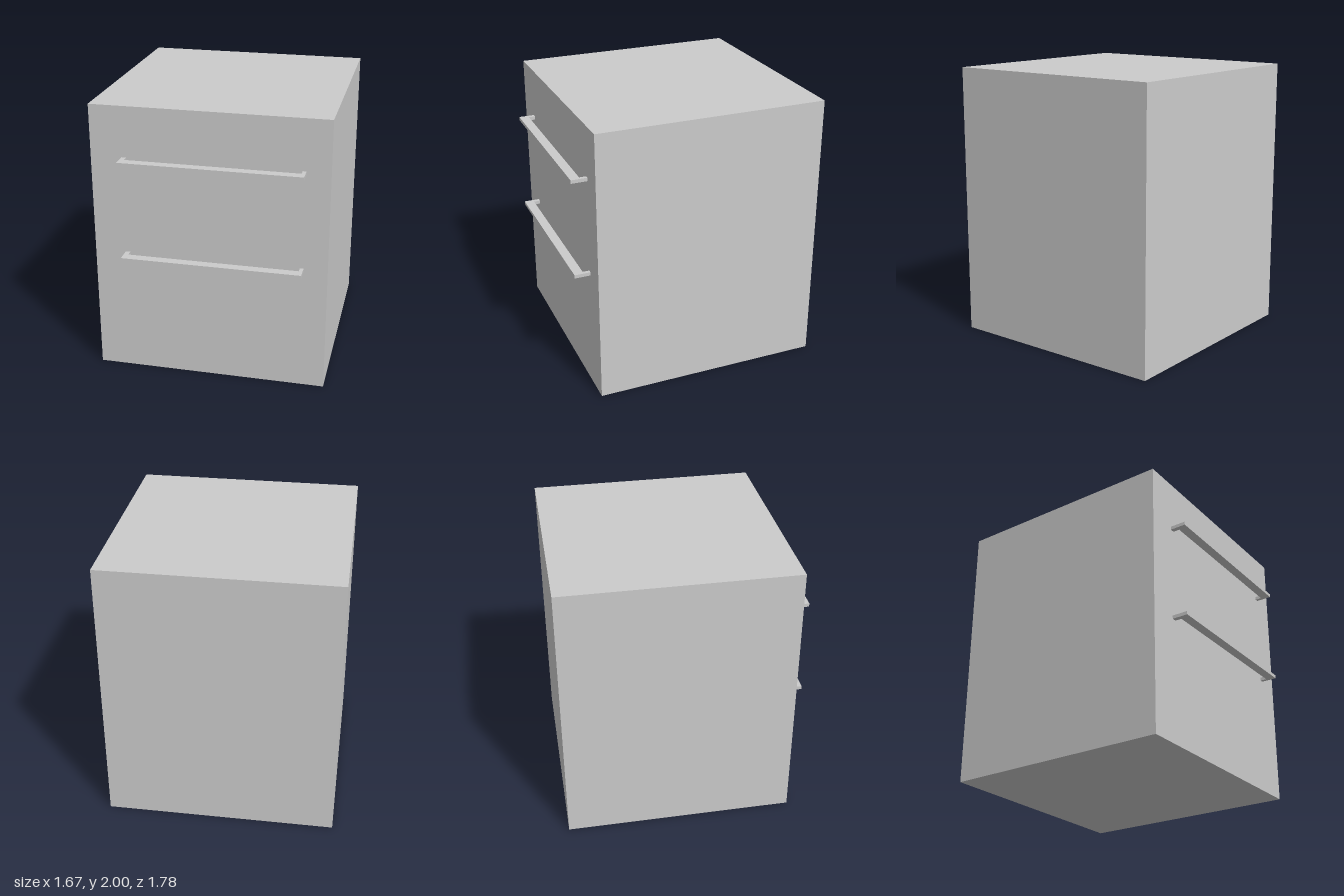
import * as THREE from 'three';

const material = new THREE.MeshStandardMaterial({ color: 0xcccccc, flatShading: true });

const WIDTH = 1.667, DEPTH = 1.665, BACK = -0.89, FRONT = BACK + DEPTH;

// One closed drawer block, 1 unit tall
function drawer(name, bottom) {
  const mesh = new THREE.Mesh(new THREE.BoxGeometry(WIDTH, 1, DEPTH), material);
  mesh.name = name;
  mesh.position.set(0, bottom + 0.5, BACK + DEPTH / 2);
  return mesh;
}

// Flat U-shaped pull: outline in plan (x, z), extruded upwards
function handle(name, bottom) {
  const left = -0.61, right = 0.667, inner = 0.823, outer = 0.89;
  const outline = [
    [left, FRONT], [left + 0.033, FRONT], [left + 0.033, inner],
    [right - 0.026, inner], [right - 0.026, FRONT], [right, FRONT],
    [right, outer], [left, outer],
  ];
  const shape = new THREE.Shape(outline.map(([x, z]) => new THREE.Vector2(x, -z)));
  const geometry = new THREE.ExtrudeGeometry(shape, { depth: 0.025, bevelEnabled: false });
  geometry.rotateX(-Math.PI / 2);
  const mesh = new THREE.Mesh(geometry, material);
  mesh.name = name;
  mesh.position.y = bottom;
  return mesh;
}

export function createModel() {
  const model = new THREE.Group();
  model.name = 'drawerCabinet';
  model.add(
    drawer('lowerDrawer', 0), handle('lowerHandle', 0.9),
    drawer('upperDrawer', 1), handle('upperHandle', 1.61),
  );
  return model;
}
